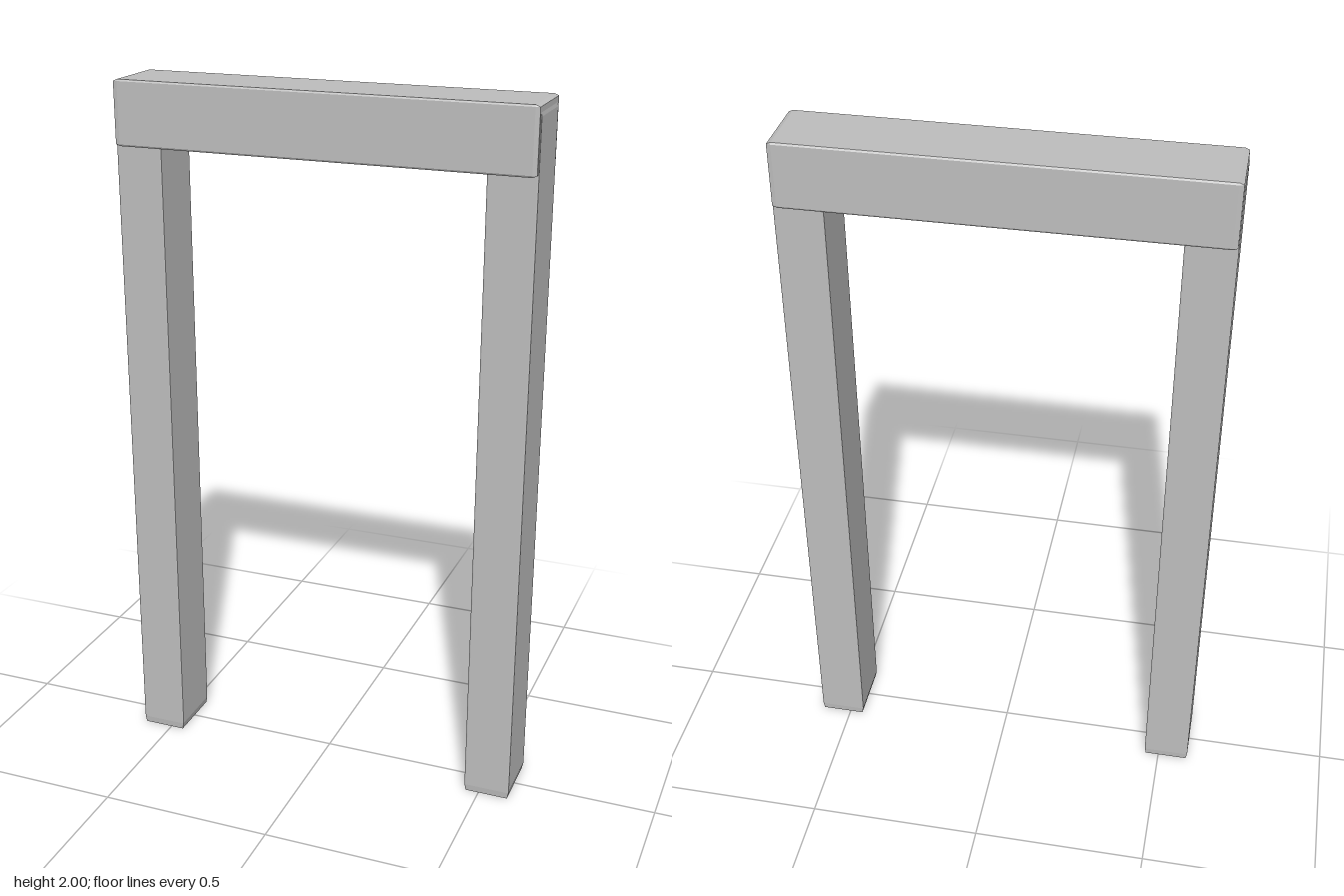
import * as THREE from 'three';
import { ConvexGeometry } from 'three/addons/geometries/ConvexGeometry.js';

const SIGNS = [-1, 1];

// Box with narrow bevels; each axis has its own bevel depth
function bevelledBox(w, h, d, bx, by, bz) {
  const points = [];
  for (const sx of SIGNS) for (const sy of SIGNS) for (const sz of SIGNS) {
    const x = w / 2, y = h / 2, z = d / 2;
    points.push(
      new THREE.Vector3(sx * x, sy * (y - by), sz * (z - bz)),
      new THREE.Vector3(sx * (x - bx), sy * y, sz * (z - bz)),
      new THREE.Vector3(sx * (x - bx), sy * (y - by), sz * z)
    );
  }
  return new ConvexGeometry(points);
}

export function createModel() {
  const group = new THREE.Group();
  group.name = 'doorFrame';
  const grey = new THREE.MeshStandardMaterial({ color: 0xbebebe });
  grey.name = 'plain grey';

  // Lintel across the top
  const lintel = new THREE.Mesh(bevelledBox(1.176, 0.18, 0.197, 0.012, 0.005, 0.003), grey);
  lintel.name = 'lintel';
  lintel.position.y = 1.91;
  group.add(lintel);

  // Two posts, rising into the lintel with their outer faces almost flush
  const postGeometry = bevelledBox(0.133, 1.99, 0.175, 0.004, 0.02, 0.002);
  for (const side of SIGNS) {
    const post = new THREE.Mesh(postGeometry, grey);
    post.name = side > 0 ? 'leftPost' : 'rightPost';
    post.position.set(side * 0.5235, 0.995, 0);
    group.add(post);
  }
  return group;
}
